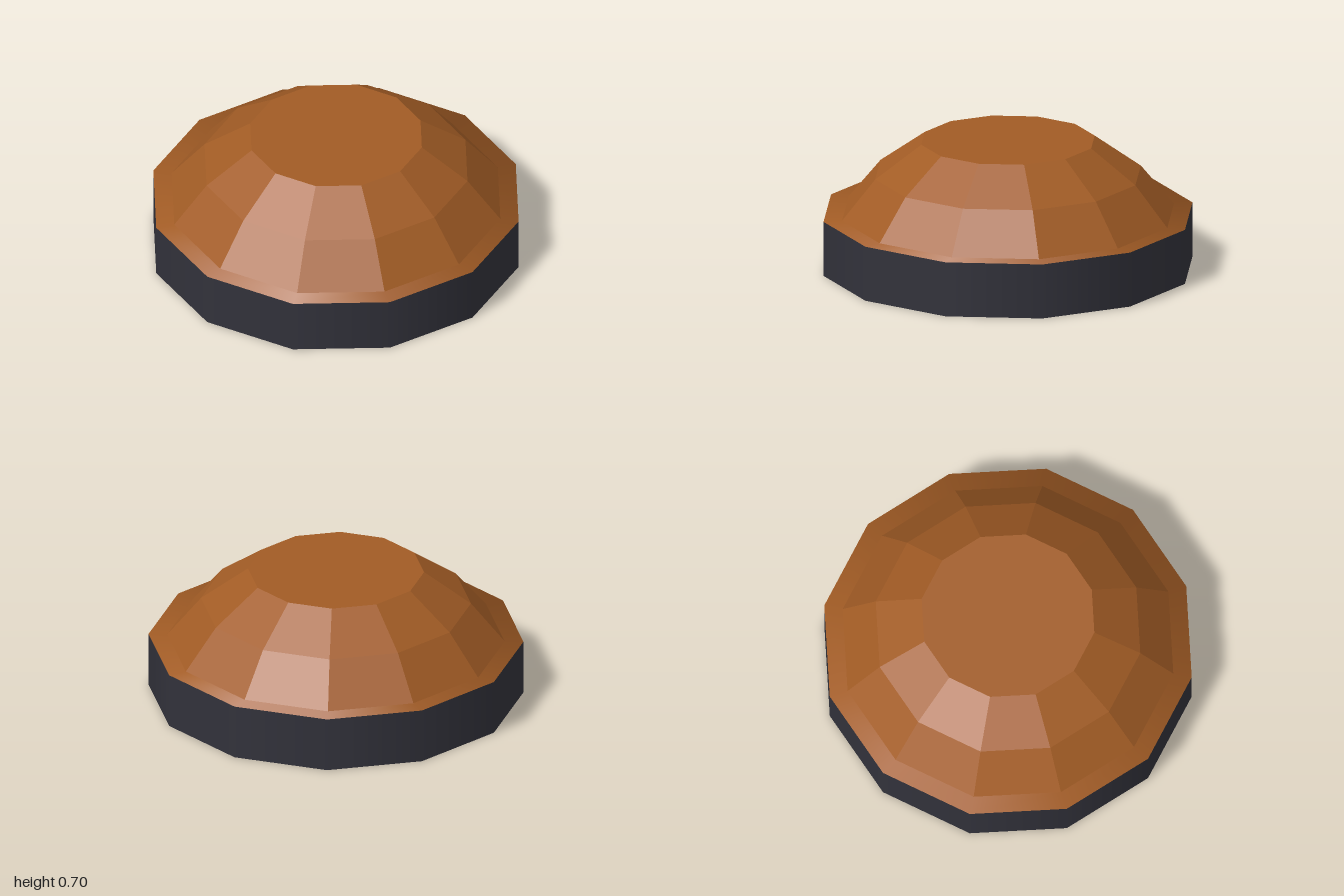
import * as THREE from 'three';

const SIDES = 12;

export function createModel() {
  const group = new THREE.Group();
  const orange = new THREE.MeshStandardMaterial({ color: 0xa25c25, side: THREE.DoubleSide, flatShading: true });
  orange.name = 'burnt orange';
  const charcoal = new THREE.MeshStandardMaterial({ color: 0x32323b, side: THREE.DoubleSide });
  charcoal.name = 'charcoal';
  // same orange, smooth-shaded for the rounded rim
  const rimOrange = orange.clone();
  rimOrange.flatShading = false;

  const add = (name, geometry, material) => {
    const mesh = new THREE.Mesh(geometry, material);
    mesh.name = name;
    group.add(mesh);
  };
  const tier = (rTop, rBottom, y0, y1) =>
    new THREE.CylinderGeometry(rTop, rBottom, y1 - y0, SIDES, 1, true).translate(0, (y0 + y1) / 2, 0);

  // base: two thin walls, open underneath
  add('outerBand', tier(1, 1, 0, 0.3), charcoal);
  add('innerBand', tier(0.9, 0.9, 0, 0.3), charcoal);

  // rim: a cone pressed flat, keeping its outward-leaning normals for a soft edge
  const rim = tier(0.9, 1, 0.2, 0.3);
  const pos = rim.attributes.position;
  for (let i = 0; i < pos.count; i++) pos.setY(i, 0.3);
  add('rim', rim, rimOrange);

  // faceted hollow dome
  const profile = [[0.9, 0.3], [0.72, 0.52], [0.47, 0.7]];
  for (let i = 0; i < 2; i++) {
    const [r0, y0] = profile[i], [r1, y1] = profile[i + 1];
    add(i ? 'domeUpper' : 'domeLower', tier(r1, r0, y0, y1), orange);
  }
  add('domeTop', new THREE.CircleGeometry(0.47, SIDES).rotateX(-Math.PI / 2).translate(0, 0.7, 0), orange);

  return group;
}
